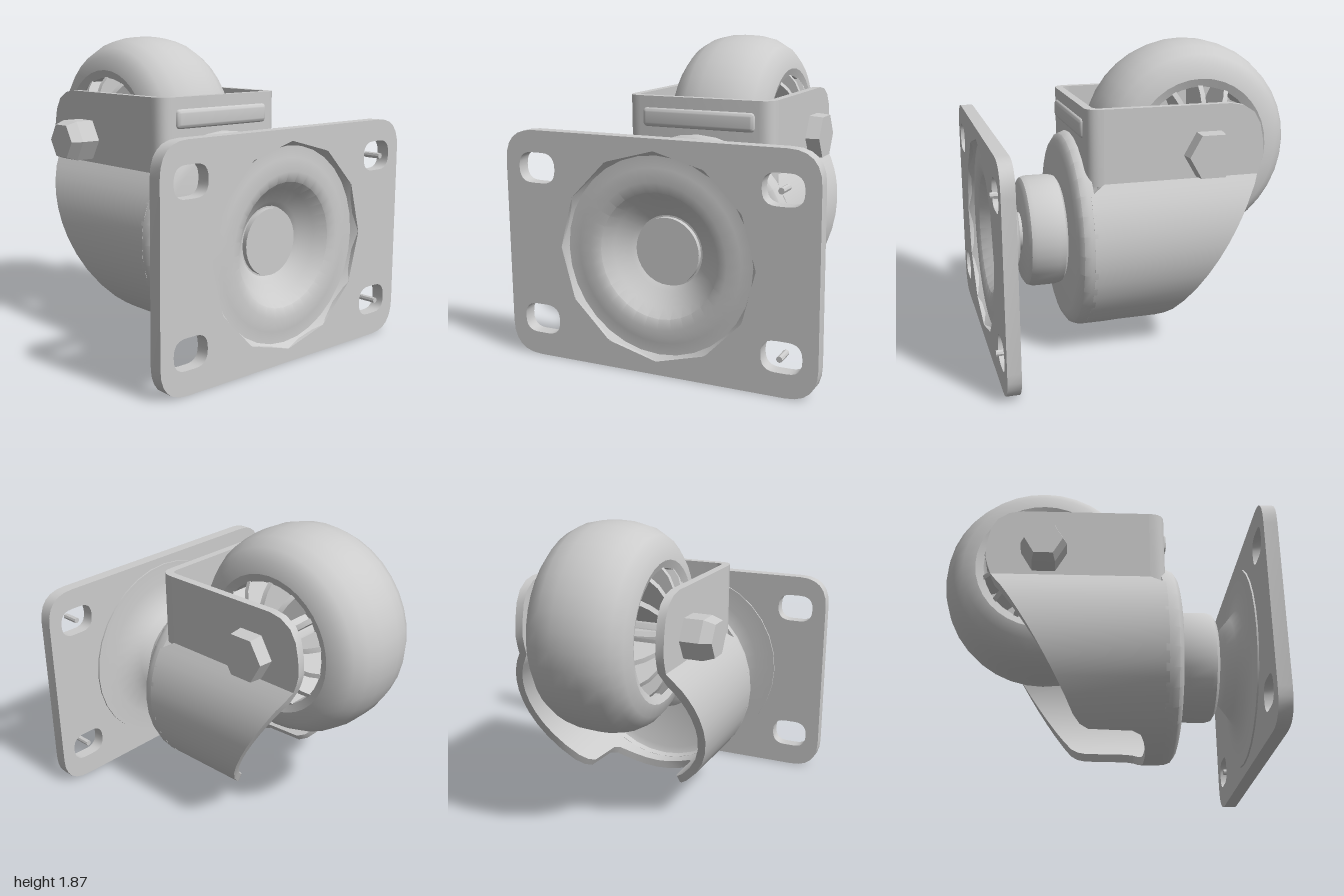
import * as THREE from 'three';
import { toCreasedNormals } from 'three/addons/utils/BufferGeometryUtils.js';
import { RoundedBoxGeometry } from 'three/addons/geometries/RoundedBoxGeometry.js';

const material = new THREE.MeshStandardMaterial({ color: 0xcccccc });
const SWIVEL_Y = 0.69, CUP_R = 0.62, WALL = 0.05, LEG_X = 0.48;
const AXLE_Y = 1.23, AXLE_Z = -0.36;

export function createModel() {
  const group = new THREE.Group();

  const add = (name, geometry, x = 0, y = 0, z = 0, crease = 0.6) => {
    const mesh = new THREE.Mesh(toCreasedNormals(geometry, crease), material);
    mesh.name = name;
    mesh.position.set(x, y, z);
    group.add(mesh);
    return mesh;
  };
  const lathe = (points, segments = 32) =>
    new THREE.LatheGeometry(points.map(([r, h]) => new THREE.Vector2(r, h)), segments);
  // Profiles of [radius, z] turned about the swivel axis
  const swivelPart = (name, points) => add(name, lathe(points).rotateX(Math.PI / 2), 0, SWIVEL_Y, 0);
  // Profiles of [radius, x] turned about the axle
  const axlePart = (name, points) =>
    add(name, lathe(points, 36).rotateZ(-Math.PI / 2), 0, AXLE_Y, AXLE_Z);

  const roundedRect = (path, cx, cy, w, h, r) => {
    path.moveTo(cx - w + r, cy - h);
    path.lineTo(cx + w - r, cy - h);
    path.quadraticCurveTo(cx + w, cy - h, cx + w, cy - h + r);
    path.lineTo(cx + w, cy + h - r);
    path.quadraticCurveTo(cx + w, cy + h, cx + w - r, cy + h);
    path.lineTo(cx - w + r, cy + h);
    path.quadraticCurveTo(cx - w, cy + h, cx - w, cy + h - r);
    path.lineTo(cx - w, cy - h + r);
    path.quadraticCurveTo(cx - w, cy - h, cx - w + r, cy - h);
    return path;
  };

  // Mounting plate with four slots and a round opening for the dish
  const plate = roundedRect(new THREE.Shape(), 0, 0.685, 0.97, 0.685, 0.19);
  for (const x of [-0.76, 0.76])
    for (const y of [0.23, 1.15])
      plate.holes.push(roundedRect(new THREE.Path(), x, y, 0.12, 0.09, 0.085));
  plate.holes.push(new THREE.Path().absarc(0, SWIVEL_Y, 0.61, 0, Math.PI * 2));
  add('mountingPlate',
    new THREE.ExtrudeGeometry(plate, { depth: 0.08, bevelEnabled: false, curveSegments: 6 }), 0, 0, 0.89);

  // Pressed dish with its bearing dome behind
  swivelPart('plateDish', [
    [0, 0.745], [0.2, 0.75], [0.25, 0.77], [0.31, 0.82], [0.37, 0.865], [0.5, 0.88], [0.63, 0.88],
    [0.63, 0.968], [0.61, 0.968], [0.58, 0.93], [0.51, 0.93], [0.43, 0.945], [0.37, 0.925],
    [0.32, 0.86], [0.24, 0.805], [0.21, 0.78], [0, 0.78],
  ]);
  swivelPart('kingpinHead', [[0, 0.77], [0.2, 0.77], [0.2, 0.81], [0, 0.81]]);

  // Small pins in the slots on one side
  for (const y of [0.23, 1.15])
    add('slotPin', new THREE.CylinderGeometry(0.018, 0.018, 0.11, 8).rotateX(Math.PI / 2), 0.76, y, 0.945);

  // Swivel stem and bearing collar
  swivelPart('swivelStem', [[0, 0.68], [0.12, 0.68], [0.12, 0.77], [0, 0.77]]);
  swivelPart('bearingCollar', [
    [0, 0.46], [0.31, 0.47], [0.34, 0.49], [0.35, 0.53], [0.35, 0.67],
    [0.34, 0.7], [0.31, 0.72], [0, 0.72],
  ]);

  // Round front face of the fork
  swivelPart('forkCup', [
    [0, 0.42], [0.52, 0.42], [0.56, 0.4], [0.57, 0.36], [CUP_R, 0.36],
    [CUP_R, 0.4], [0.605, 0.44], [0.57, 0.465], [0.53, 0.475], [0, 0.475],
  ]);
  swivelPart('forkRivet', [[0, 0.38], [0.17, 0.38], [0.21, 0.4], [0.21, 0.43], [0, 0.43]]);

  // Fork legs and lip: one shell swept down one leg, under the cup and up the other
  const slant = [0.3, 0.4, 0.5, 0.6, 0.69, 0.78, 0.86, 0.92, 0.97].map(y => [y, -0.17 - (y - 0.22) * 0.587]);
  const rearEdge = [
    [0.07, 0.27], [0.075, 0.27], [0.09, 0.265], [0.115, 0.25], [0.14, 0.23], [0.155, 0.18], [0.16, -0.08],
    [0.18, -0.13], [0.22, -0.17], ...slant, [1.03, -0.65], [1.085, -0.68], [1.14, -0.7], [1.2, -0.715],
    [1.3, -0.71], [1.4, -0.69], [1.47, -0.65], [1.515, -0.58], [1.53, -0.5],
  ];
  const section = (side, y, zb) => {
    const flat = y > 1.08;
    const x = flat ? LEG_X : Math.sqrt(Math.max(0, CUP_R ** 2 - (y - SWIVEL_Y) ** 2));
    const k = (CUP_R - WALL) / CUP_R;
    const ix = flat ? x - WALL : x * k;
    const iy = flat ? y : SWIVEL_Y + (y - SWIVEL_Y) * k;
    const zf = flat ? 0.29 : 0.38;
    return [[side * x, y, zf], [side * x, y, zb], [side * ix, iy, zb], [side * ix, iy, zf]];
  };
  const rows = [
    ...rearEdge.slice().reverse().map(([y, z]) => section(1, y, z)),
    ...rearEdge.slice(1).map(([y, z]) => section(-1, y, z)),
  ];
  const index = [];
  for (let i = 0; i < rows.length - 1; i++)
    for (let k = 0; k < 4; k++) {
      const a = i * 4 + k, b = i * 4 + (k + 1) % 4;
      index.push(a, a + 4, b, b, a + 4, b + 4);
    }
  const end = (rows.length - 1) * 4;
  index.push(0, 1, 2, 0, 2, 3, end, end + 2, end + 1, end, end + 3, end + 2);
  const shell = new THREE.BufferGeometry();
  shell.setAttribute('position', new THREE.Float32BufferAttribute(rows.flat(2), 3));
  shell.setIndex(index);
  add('forkLegs', shell).material = new THREE.MeshStandardMaterial({ color: 0xcccccc, side: THREE.DoubleSide });

  // Upper front wall of the fork, bent round into the legs
  const bend = new THREE.Shape();
  bend.moveTo(0.48, -0.29);
  bend.quadraticCurveTo(0.48, -0.39, 0.39, -0.39);
  bend.lineTo(-0.39, -0.39);
  bend.quadraticCurveTo(-0.48, -0.39, -0.48, -0.29);
  bend.lineTo(-0.43, -0.29);
  bend.quadraticCurveTo(-0.43, -0.34, -0.38, -0.34);
  bend.lineTo(0.38, -0.34);
  bend.quadraticCurveTo(0.43, -0.34, 0.43, -0.29);
  add('forkFrontWall',
    new THREE.ExtrudeGeometry(bend, { depth: 0.46, bevelEnabled: false, curveSegments: 6 })
      .rotateX(-Math.PI / 2), 0, 1.07, 0);
  add('stiffeningBead', new RoundedBoxGeometry(0.74, 0.12, 0.06, 3, 0.028), 0, 1.4, 0.378);

  // Tyre
  const tread = [[0.38, 0.31], [0.43, 0.33], [0.51, 0.31], [0.57, 0.26], [0.615, 0.18], [0.637, 0.08]];
  axlePart('tyre', [
    ...tread.map(([r, x]) => [r, -x]), [0.64, 0], ...tread.slice().reverse(), [0.38, -0.31],
  ]);

  // Hub, web and radial ribs
  axlePart('hub', [[0, -0.43], [0.15, -0.43], [0.17, -0.4], [0.17, 0.4], [0.15, 0.43], [0, 0.43]]);
  axlePart('wheelWeb', [[0.1, -0.1], [0.39, -0.1], [0.39, 0.1], [0.1, 0.1], [0.1, -0.1]]);
  const rib = new THREE.Shape([
    [0.12, -0.42], [0.2, -0.42], [0.34, -0.355], [0.4, -0.3],
    [0.4, 0.3], [0.34, 0.355], [0.2, 0.42], [0.12, 0.42],
  ].map(([r, x]) => new THREE.Vector2(x, r)));
  const ribGeometry = new THREE.ExtrudeGeometry(rib, { depth: 0.03, bevelEnabled: false }).translate(0, 0, -0.015);
  for (let i = 0; i < 14; i++)
    add('wheelRib', ribGeometry, 0, AXLE_Y, AXLE_Z).rotation.x = (i / 14) * Math.PI * 2;

  // Axle with a bolt head on one side and a longer nut on the other
  const hex = (name, rOuter, rInner, x0, x1) =>
    add(name, new THREE.CylinderGeometry(rOuter, rInner, x1 - x0, 6).rotateZ(-Math.PI / 2),
      (x0 + x1) / 2, AXLE_Y, AXLE_Z);
  add('axle', new THREE.CylinderGeometry(0.07, 0.07, 1, 16).rotateZ(-Math.PI / 2), 0, AXLE_Y, AXLE_Z);
  hex('boltHead', 0.15, 0.16, 0.46, 0.57);
  hex('axleNut', 0.14, 0.14, -0.6, -0.46);
  hex('axleNutTip', 0.14, 0.115, -0.67, -0.6);

  return group;
}
